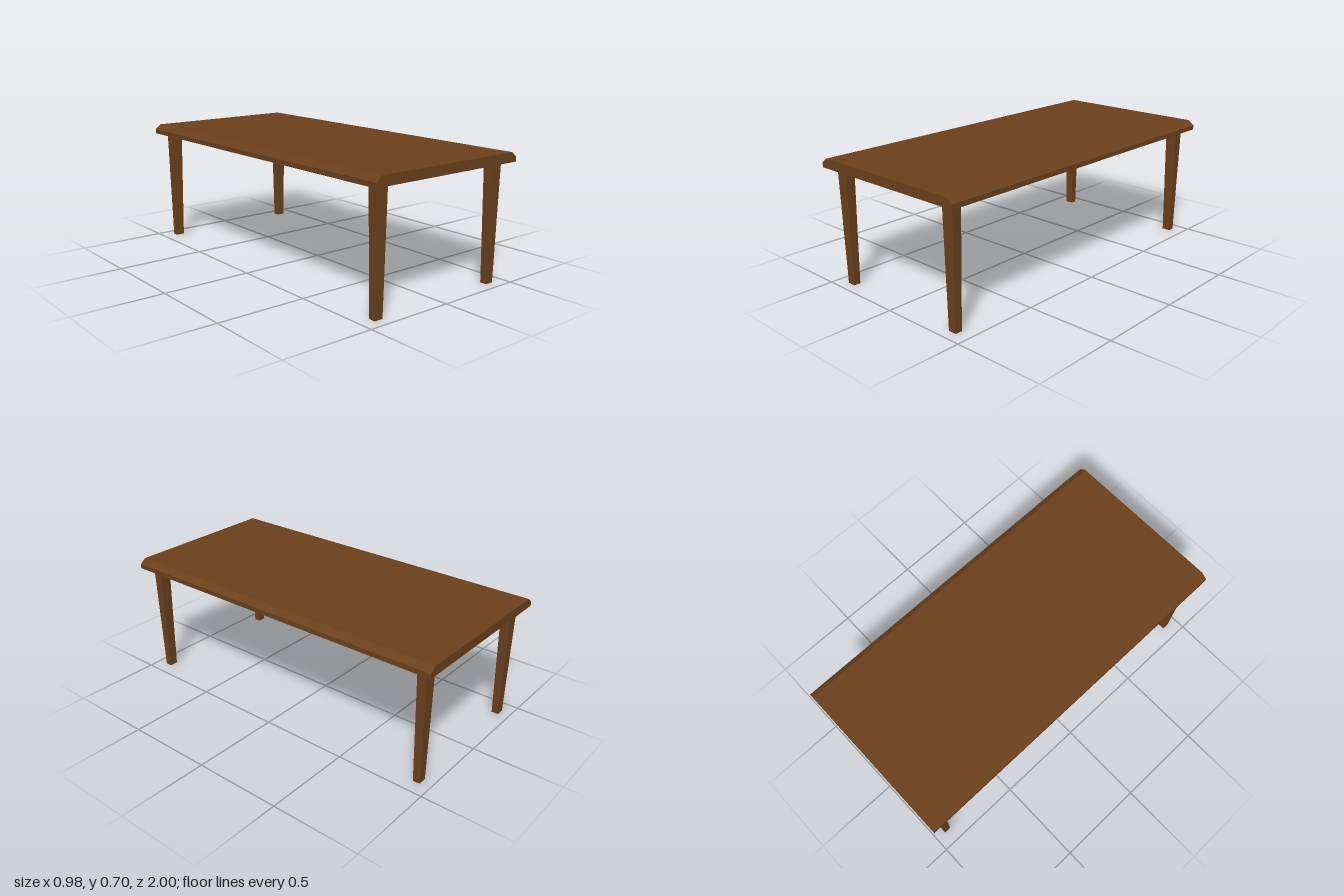
import * as THREE from 'three';

const LENGTH = 2, UNDERSIDE = 0.65, TOP = 0.703;

// Slab with its two long upper edges bevelled
function tabletopGeometry() {
  const s = new THREE.Shape([
    [-0.488, UNDERSIDE], [0.488, UNDERSIDE], [0.488, 0.676],
    [0.453, TOP], [-0.453, TOP], [-0.488, 0.676],
  ].map(([x, y]) => new THREE.Vector2(x, y)));
  const g = new THREE.ExtrudeGeometry(s, { depth: LENGTH, bevelEnabled: false });
  return g.translate(0, 0, -LENGTH / 2);
}

// Rectangular leg narrowing towards the floor
function legGeometry() {
  const g = new THREE.BoxGeometry(0.068, UNDERSIDE, 0.055);
  g.translate(0, UNDERSIDE / 2, 0);
  const p = g.attributes.position;
  for (let i = 0; i < p.count; i++) {
    if (p.getY(i) < 0.01) {
      p.setX(i, p.getX(i) * 0.71);
      p.setZ(i, p.getZ(i) * 0.71);
    }
  }
  g.computeVertexNormals();
  return g;
}

export function createModel() {
  const table = new THREE.Group();
  table.name = 'table';
  const wood = new THREE.MeshStandardMaterial({ color: 0x6b401c, flatShading: true });

  const top = new THREE.Mesh(tabletopGeometry(), wood);
  top.name = 'tabletop';
  table.add(top);

  // Four legs, one near each corner
  const legGeo = legGeometry();
  for (const [side, sx] of [['Left', 1], ['Right', -1]]) {
    for (const [end, sz] of [['front', 1], ['back', -1]]) {
      const leg = new THREE.Mesh(legGeo, wood);
      leg.name = `${end}${side}Leg`;
      leg.position.set(sx * 0.399, 0, sz * 0.922);
      table.add(leg);
    }
  }
  return table;
}
